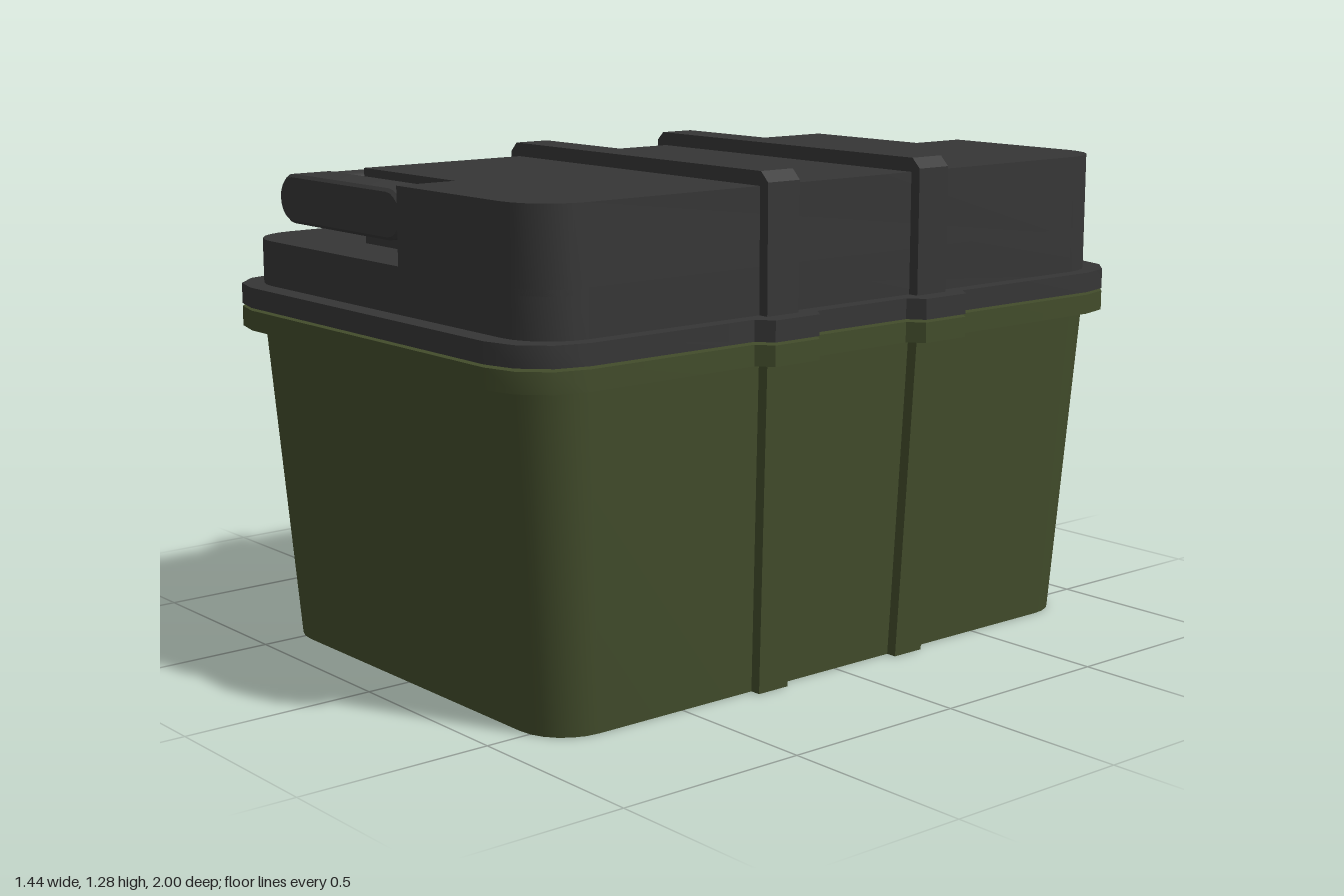
import * as THREE from 'three';
import { toCreasedNormals } from 'three/addons/utils/BufferGeometryUtils.js';

const BODY_H = 0.84;

// Rounded corner points, sweeping from angle a0 through a quarter turn
function corner(cx, cy, r, a0, n) {
  return Array.from({ length: n + 1 }, (_, i) => {
    const a = a0 + (Math.PI / 2) * (i / n);
    return [cx + r * Math.cos(a), cy + r * Math.sin(a)];
  });
}

// Plan outline with two latch notches on the -x side; optional bumps around the ribs
function outline(hx, hz, r, notchX, seg, bump = 0) {
  const right = [], left = [];
  for (const s of [-1, 1]) {
    // Points of each half are listed from low to high z
    const rb = bump ? [[hx, 0.15], [hx + bump, 0.18], [hx + bump, 0.32], [hx, 0.35]] : [];
    const lb = bump ? [[-hx, 0.15], [-hx - bump, 0.18], [-hx - bump, 0.32], [-hx - 0.01, 0.365]] : [[-hx, 0.365]];
    const ln = [...lb, [notchX, 0.365], [notchX, 0.65], [-hx, 0.65]];
    const place = (pts) => (s > 0 ? pts : [...pts].reverse()).map(([x, z]) => [x, s * z]);
    right.push(...place(rb));
    left.push(...place(ln));
  }
  const q = Math.PI / 2;
  return [
    ...corner(hx - r, -hz + r, r, -q, seg), ...right,
    ...corner(hx - r, hz - r, r, 0, seg),
    ...corner(-hx + r, hz - r, r, q, seg), ...left.reverse(),
    ...corner(-hx + r, -hz + r, r, 2 * q, seg),
  ];
}

const shapeOf = (pts) => new THREE.Shape(pts.map(([x, y]) => new THREE.Vector2(x, y)));

// Plan outline raised from y0 to y1
function slab(pts, y0, y1) {
  const g = new THREE.ExtrudeGeometry(shapeOf(pts), { depth: y1 - y0, bevelEnabled: false });
  return g.rotateX(-Math.PI / 2).translate(0, y0, 0);
}

// Side profile in x/y extruded along z, centred on z
function profile(pts, width, z) {
  const g = new THREE.ExtrudeGeometry(shapeOf(pts), { depth: width, bevelEnabled: false });
  return g.translate(0, 0, z - width / 2);
}

// Narrow the tub towards its base
function taper(g) {
  const p = g.attributes.position;
  for (let i = 0; i < p.count; i++) {
    const k = 0.935 + 0.065 * (p.getY(i) / BODY_H);
    p.setX(i, p.getX(i) * k);
    p.setZ(i, p.getZ(i) * k);
  }
  return g;
}

export function createModel() {
  const group = new THREE.Group();
  group.name = 'storageCase';
  const green = new THREE.MeshStandardMaterial({ color: 0x424c2b });
  green.name = 'olive green';
  const dark = new THREE.MeshStandardMaterial({ color: 0x363636 });
  dark.name = 'charcoal';

  const add = (name, geometry, material) => {
    const mesh = new THREE.Mesh(toCreasedNormals(geometry, 0.6), material);
    mesh.name = name;
    group.add(mesh);
    return mesh;
  };

  // Tub and the matching rims, separated by a thin seam
  add('tub', taper(slab(outline(0.64, 0.945, 0.14, -0.53, 6), 0, BODY_H)), green);
  const rim = outline(0.68, 1, 0.17, -0.58, 3, 0.04);
  add('tubRim', slab(rim, 0.83, 0.881), green);
  add('lidRim', slab(rim, 0.888, 0.94), dark);

  // Lid: low base, then a raised block cut away for the handle
  add('lidBase', slab(outline(0.64, 0.945, 0.14, -0.53, 6), 0.93, 1.055), dark);
  const raised = [
    [-0.31, -0.78], [0.09, -0.78], [0.09, -0.945],
    ...corner(0.5, -0.805, 0.14, -Math.PI / 2, 6),
    ...corner(0.5, 0.805, 0.14, 0, 6),
    [0.09, 0.945], [0.09, 0.78], [-0.31, 0.78],
  ];
  add('lidTop', slab(raised, 1.04, 1.245), dark);

  // Stepped lid ribs, tub ribs and latches on both halves
  const lidRib = [
    [-0.67, 0.93], [-0.67, 1.065], [-0.65, 1.087], [-0.345, 1.087], [-0.345, 1.257],
    [-0.322, 1.28], [0.643, 1.28], [0.668, 1.255], [0.668, 0.93],
  ];
  const latch = [
    [-0.5, 0.95], [-0.6, 0.95], [-0.6, 0.83], [-0.56, 0.74],
    [-0.525, 0.5], [-0.512, 0.2], [-0.48, 0.2],
  ];
  for (const s of [-1, 1]) {
    add('lidRib', profile(lidRib, 0.1, s * 0.25), dark);
    const rib = new THREE.BoxGeometry(1.34, BODY_H, 0.1).translate(0, BODY_H / 2, s * 0.25);
    add('tubRib', taper(rib), green);
    add('latch', profile(latch, 0.27, s * 0.508), dark);
  }

  // Handle: two flat rounded arms joined by a round grip
  const b = 0.008, r = 0.0625 - b;
  const arm = shapeOf([
    ...corner(-0.01, 0, r, -Math.PI / 2, 5), ...corner(-0.01, 0, r, 0, 5).slice(1),
    ...corner(-0.445, 0, r, Math.PI / 2, 5), ...corner(-0.445, 0, r, Math.PI, 5).slice(1),
  ]);
  for (const s of [-1, 1]) {
    const g = new THREE.ExtrudeGeometry(arm, { depth: 0.12 - 2 * b, bevelSize: b, bevelThickness: b, bevelSegments: 1 });
    add('handleArm', g.translate(0, 1.165, s * 0.85 - 0.06 + b), dark);
  }
  const grip = new THREE.CylinderGeometry(0.06, 0.06, 1.62, 16);
  add('handleGrip', grip.rotateX(Math.PI / 2).translate(-0.448, 1.165, 0), dark);

  return group;
}
